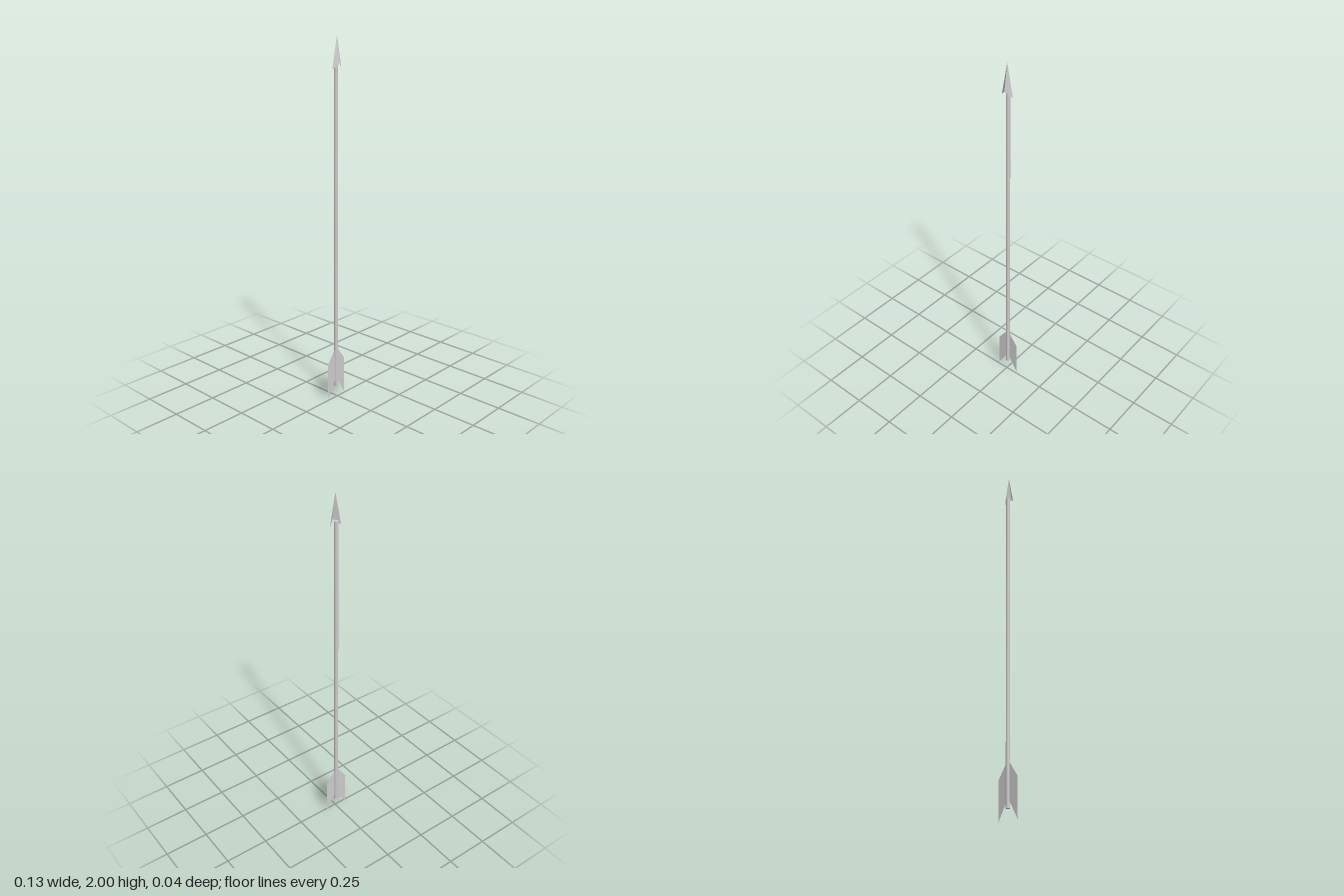
import * as THREE from 'three';

const AXIS_Z = -0.01; // shaft centre line

function material(side = THREE.FrontSide, flatShading = false) {
  return new THREE.MeshStandardMaterial({ color: 0xcccccc, side, flatShading });
}

function addMesh(parent, name, geometry, mat) {
  const mesh = new THREE.Mesh(geometry, mat);
  mesh.name = name;
  parent.add(mesh);
  return mesh;
}

// One half of the folded arrowhead: from the raised ridge to a swept barb
function headHalf(side) {
  const tip = [0, 2, -0.003];
  const ridge = [0, 1.86, 0.018];
  const barb = [side * 0.034, 1.83, -0.004];
  const corners = side > 0 ? [tip, ridge, barb] : [tip, barb, ridge];
  const geometry = new THREE.BufferGeometry();
  geometry.setAttribute('position', new THREE.Float32BufferAttribute(corners.flat(), 3));
  geometry.computeVertexNormals();
  return geometry;
}

// Flat swept vane, from the shaft axis to the outer edge
function vane(side) {
  const outline = [[0, 0.305], [0.067, 0.21], [0.067, 0], [0.01, 0.095], [0, 0.11]];
  return new THREE.ShapeGeometry(
    new THREE.Shape(outline.map(([x, y]) => new THREE.Vector2(side * x, y)))
  );
}

export function createModel() {
  const arrow = new THREE.Group();
  arrow.name = 'arrow';

  // Shaft
  const shaftBottom = 0.06, shaftTop = 1.86;
  const shaft = addMesh(arrow, 'shaft',
    new THREE.CylinderGeometry(0.011, 0.011, shaftTop - shaftBottom, 16), material());
  shaft.position.set(0, (shaftTop + shaftBottom) / 2, AXIS_Z);

  // Open-backed head and flat fletching, mirrored left and right
  const head = new THREE.Group();
  head.name = 'arrowhead';
  const fletching = new THREE.Group();
  fletching.name = 'fletching';
  fletching.position.z = AXIS_Z;
  for (const [label, side] of [['left', 1], ['right', -1]]) {
    addMesh(head, `${label}HeadHalf`, headHalf(side), material(THREE.DoubleSide, true));
    addMesh(fletching, `${label}Vane`, vane(side), material(THREE.DoubleSide));
  }
  arrow.add(head, fletching);
  return arrow;
}
